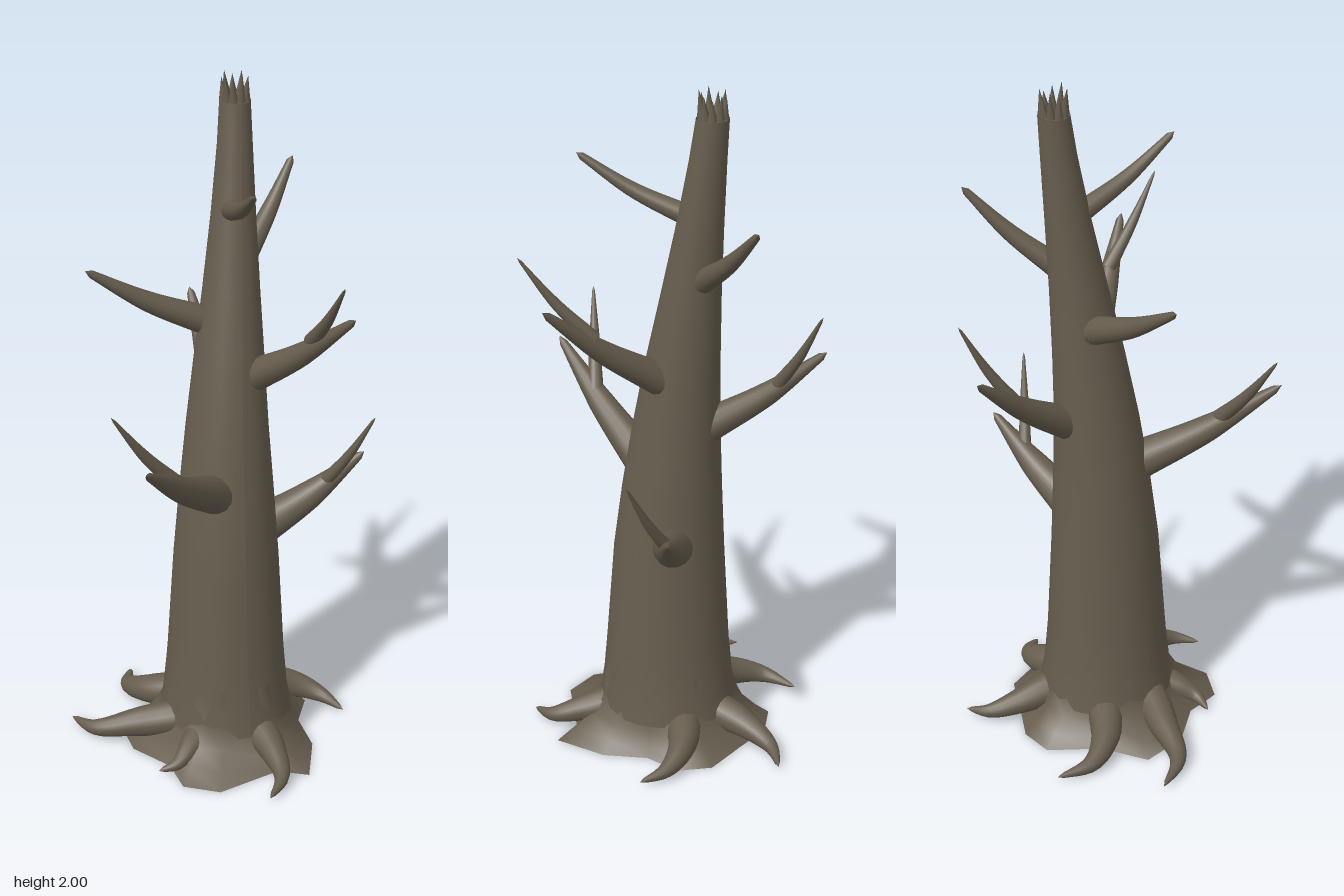
import * as THREE from 'three';

const bark = new THREE.MeshStandardMaterial({ color: 0x665d4e, side: THREE.DoubleSide });
const V = (p) => new THREE.Vector3(...p);

function add(group, name, geometry) {
  const mesh = new THREE.Mesh(geometry, bark);
  mesh.name = name;
  group.add(mesh);
  return mesh;
}

// Tube along a smooth path whose radius runs through the given list and closes at the tip
function taperedTube(points, radii, segments = 20, sides = 14) {
  const curve = new THREE.CatmullRomCurve3(points.map(V));
  const geometry = new THREE.TubeGeometry(curve, segments, 1, sides);
  const pos = geometry.attributes.position;
  const v = new THREE.Vector3();
  for (let i = 0; i <= segments; i++) {
    const c = curve.getPointAt(i / segments);
    const f = (i / segments) * (radii.length - 1);
    const k = Math.min(Math.floor(f), radii.length - 2);
    const r = i === segments ? 0 : THREE.MathUtils.lerp(radii[k], radii[k + 1], f - k);
    for (let j = 0; j <= sides; j++) {
      const n = i * (sides + 1) + j;
      v.fromBufferAttribute(pos, n).sub(c).multiplyScalar(r).add(c);
      pos.setXYZ(n, v.x, v.y, v.z);
    }
  }
  return geometry;
}

// Straight limb with a slight sag in the middle
function limb(from, to, radius, tip, sag) {
  const mid = from.map((a, i) => (a + to[i]) / 2 - (i === 1 ? sag : 0));
  return taperedTube([from, mid, to], [radius, radius * 0.62 + tip * 0.2, tip]);
}

// Leaning trunk sections: height, radius, centre x, centre z
const TRUNK = [
  [0.09, 0.192, -0.015, 0.02], [0.18, 0.178, -0.015, 0.02], [0.3, 0.168, -0.015, 0.02],
  [0.6, 0.15, -0.012, 0.016], [0.8, 0.134, -0.007, 0.007], [1.0, 0.116, 0.0, -0.006],
  [1.2, 0.098, 0.013, -0.024], [1.4, 0.079, 0.028, -0.046], [1.6, 0.062, 0.043, -0.069],
  [1.8, 0.048, 0.056, -0.091], [1.92, 0.042, 0.061, -0.103],
];

function trunkGeometry() {
  const profile = TRUNK.map(([y, r]) => new THREE.Vector2(r, y));
  const geometry = new THREE.LatheGeometry(profile, 32);
  const pos = geometry.attributes.position;
  for (let i = 0; i < pos.count; i++) {
    const [, , cx, cz] = TRUNK[i % TRUNK.length];
    pos.setX(i, pos.getX(i) + cx);
    pos.setZ(i, pos.getZ(i) * 1.06 + cz);
  }
  geometry.computeVertexNormals();
  return geometry;
}

// Irregular outline of the root flare on the ground (x, z)
const FLARE = [
  [0.26, -0.02], [0.2, 0.07], [0.19, 0.2], [0.12, 0.34], [0.04, 0.29], [-0.15, 0.325],
  [-0.24, 0.26], [-0.24, 0.15], [-0.31, 0.03], [-0.305, -0.11], [-0.17, -0.165],
  [-0.06, -0.28], [0.04, -0.27], [0.13, -0.2], [0.24, -0.12],
];

// Concave skirt from the trunk down to the outline
function flareGeometry() {
  const rows = [[0.24, 0], [0.13, 0.08], [0.07, 0.32], [0.03, 0.66], [0, 1]];
  const n = FLARE.length;
  const positions = [];
  const index = [];
  rows.forEach(([y, t], row) => {
    FLARE.forEach(([x, z], j) => {
      const a = Math.atan2(z - 0.02, x + 0.015);
      const tx = -0.015 + 0.173 * Math.cos(a);
      const tz = 0.02 + 0.184 * Math.sin(a);
      positions.push(THREE.MathUtils.lerp(tx, x, t), y, THREE.MathUtils.lerp(tz, z, t));
      if (row === 0) return;
      const k = (j + 1) % n;
      const [a0, a1, b0, b1] = [(row - 1) * n + j, (row - 1) * n + k, row * n + j, row * n + k];
      index.push(a0, a1, b0, a1, b1, b0);
    });
  });
  const geometry = new THREE.BufferGeometry();
  geometry.setAttribute('position', new THREE.Float32BufferAttribute(positions, 3));
  geometry.setIndex(index);
  geometry.computeVertexNormals();
  return geometry;
}

// Branches: start, tip, base radius
const BRANCHES = [
  [[0.08, 0.645, 0], [0.425, 0.835, 0], 0.062],
  [[-0.06, 0.83, 0.08], [-0.37, 1.09, 0.355], 0.058],
  [[0.02, 1.0, -0.09], [0.045, 1.245, -0.42], 0.05],
  [[0.055, 1.155, 0.03], [0.23, 1.43, 0.34], 0.048],
  [[-0.03, 1.3, -0.06], [-0.375, 1.49, -0.1], 0.042],
  [[0.08, 1.465, -0.08], [0.285, 1.685, -0.23], 0.034],
  [[0.025, 1.63, -0.04], [-0.033, 1.785, 0.265], 0.03],
];

// Thin twigs growing from the branches
const TWIGS = [
  [[0.295, 0.755, 0], [0.405, 1.0, 0.11], 0.02],
  [[-0.235, 0.975, 0.24], [-0.43, 1.225, 0.257], 0.024],
  [[0.04, 1.14, -0.285], [0.127, 1.385, -0.405], 0.02],
  [[0.16, 1.325, 0.21], [0.165, 1.56, 0.41], 0.022],
];

// Curling roots: path points on the ground (x, z)
const ROOTS = [
  [[-0.1, -0.08], [-0.19, -0.17], [-0.222, -0.26], [-0.18, -0.36]],
  [[-0.15, 0.04], [-0.28, -0.015], [-0.39, -0.075], [-0.43, -0.18]],
  [[0.06, -0.12], [0.11, -0.22], [0.17, -0.29], [0.245, -0.313]],
  [[0.02, 0.14], [0.035, 0.27], [0.025, 0.36], [-0.035, 0.42]],
  [[0.12, -0.03], [0.23, -0.03], [0.3, 0.01], [0.34, 0.085]],
  [[-0.09, 0.09], [-0.18, 0.16], [-0.23, 0.187], [-0.285, 0.178]],
];

export function createModel() {
  const model = new THREE.Group();
  model.name = 'deadTree';

  add(model, 'trunk', trunkGeometry());
  add(model, 'rootFlare', flareGeometry());

  BRANCHES.forEach(([a, b, r]) => add(model, 'branch', limb(a, b, r, 0.009, 0.015)));
  TWIGS.forEach(([a, b, r]) => add(model, 'twig', limb(a, b, r, 0.003, 0.015)));

  const heights = [0.09, 0.06, 0.03, 0.012];
  ROOTS.forEach((path) => {
    const points = [[-0.01, 0.09, 0.01], ...path.map(([x, z], i) => [x, heights[i], z])];
    add(model, 'root', taperedTube(points, [0.035, 0.055, 0.046, 0.027, 0.004], 24));
  });

  // Broken top: a cap ringed by splinters
  const [topY, topR, topX, topZ] = TRUNK[TRUNK.length - 1];
  const cap = add(model, 'brokenTop', new THREE.CircleGeometry(topR, 32));
  cap.rotation.x = -Math.PI / 2;
  cap.position.set(topX, topY, topZ);
  for (let i = 0; i < 9; i++) {
    const a = (i / 9) * Math.PI * 2;
    const h = 0.058 + 0.022 * ((i * 4) % 9) / 8;
    const splinter = add(model, 'splinter', new THREE.ConeGeometry(0.014, h, 6));
    splinter.position.set(topX + 0.033 * Math.cos(a), topY + h / 2, topZ + 0.033 * Math.sin(a));
    splinter.rotation.set(0.12 * Math.sin(a), 0, -0.12 * Math.cos(a));
  }
  return model;
}
